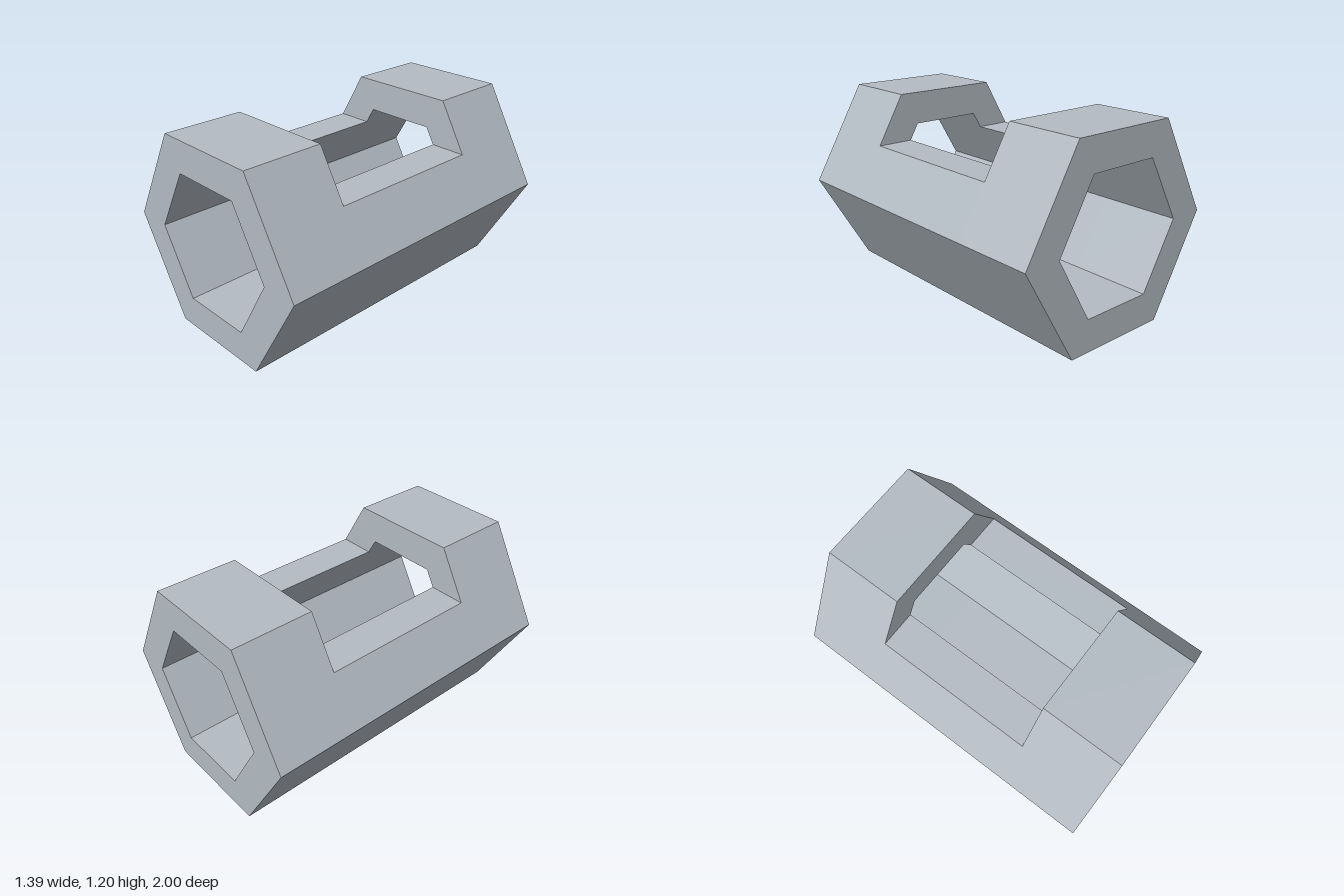
import * as THREE from 'three';
import { mergeGeometries } from 'three/addons/utils/BufferGeometryUtils.js';

const OUTER = 0.6, INNER = 0.4; // flat-to-centre distances of the hexagons
const MID = 0.6, CUT = 0.9;     // centre height and height of the window cut
const HALF = 1, WINDOW = 0.5;   // half lengths of the tube and the window

// Hexagon corners, counter-clockwise from +x
function hexagon(apothem) {
  const r = apothem / Math.cos(Math.PI / 6);
  return Array.from({ length: 6 }, (_, i) => new THREE.Vector2(
    r * Math.cos(i * Math.PI / 3), MID + r * Math.sin(i * Math.PI / 3)));
}

// Point at height CUT on the right or left slanted side of a hexagon
function cutPoint(apothem, side) {
  const x = (2 * apothem - (CUT - MID)) / Math.sqrt(3);
  return new THREE.Vector2(side * x, CUT);
}

// Side walls only of a shape extruded from z0 to z1
function walls(shape, z0, z1) {
  const g = new THREE.ExtrudeGeometry(shape, { depth: z1 - z0, bevelEnabled: false });
  const { start, count } = g.groups[1];
  const out = new THREE.BufferGeometry();
  for (const name of ['position', 'normal', 'uv']) {
    const a = g.attributes[name], n = a.itemSize;
    out.setAttribute(name, new THREE.BufferAttribute(
      a.array.slice(start * n, (start + count) * n), n));
  }
  return out.translate(0, 0, z0);
}

// Flat face at distance z, turned towards the front or the back
function face(shape, z, facing) {
  const g = new THREE.ShapeGeometry(shape).toNonIndexed();
  if (facing < 0) g.rotateY(Math.PI);
  return g.translate(0, 0, z);
}

export function createModel() {
  const model = new THREE.Group();
  model.name = 'windowedHexTube';
  const metal = new THREE.MeshStandardMaterial({ color: 0xb4bcc4 });
  metal.name = 'light grey metal';

  const o = hexagon(OUTER), n = hexagon(INNER);
  const ring = new THREE.Shape(o);
  ring.holes.push(new THREE.Path(n));

  // Trough left below the window
  const trough = new THREE.Shape([
    cutPoint(OUTER, -1), o[3], o[4], o[5], o[0], cutPoint(OUTER, 1),
    cutPoint(INNER, 1), n[0], n[5], n[4], n[3], cutPoint(INNER, -1)]);

  // Cut faces at the window ends
  const crown = new THREE.Shape([
    cutPoint(OUTER, 1), o[1], o[2], cutPoint(OUTER, -1),
    cutPoint(INNER, -1), n[2], n[1], cutPoint(INNER, 1)]);

  const add = (name, geometry) => {
    const mesh = new THREE.Mesh(geometry, metal);
    mesh.name = name;
    model.add(mesh);
  };

  add('middleTrough', walls(trough, -WINDOW, WINDOW));
  for (const s of [1, -1]) {
    const z = [s * WINDOW, s * HALF].sort((a, b) => a - b);
    add(s > 0 ? 'frontCollar' : 'backCollar', mergeGeometries([
      walls(ring, z[0], z[1]),
      face(ring, s * HALF, s),
      face(crown, s * WINDOW, -s)]));
  }
  return model;
}
